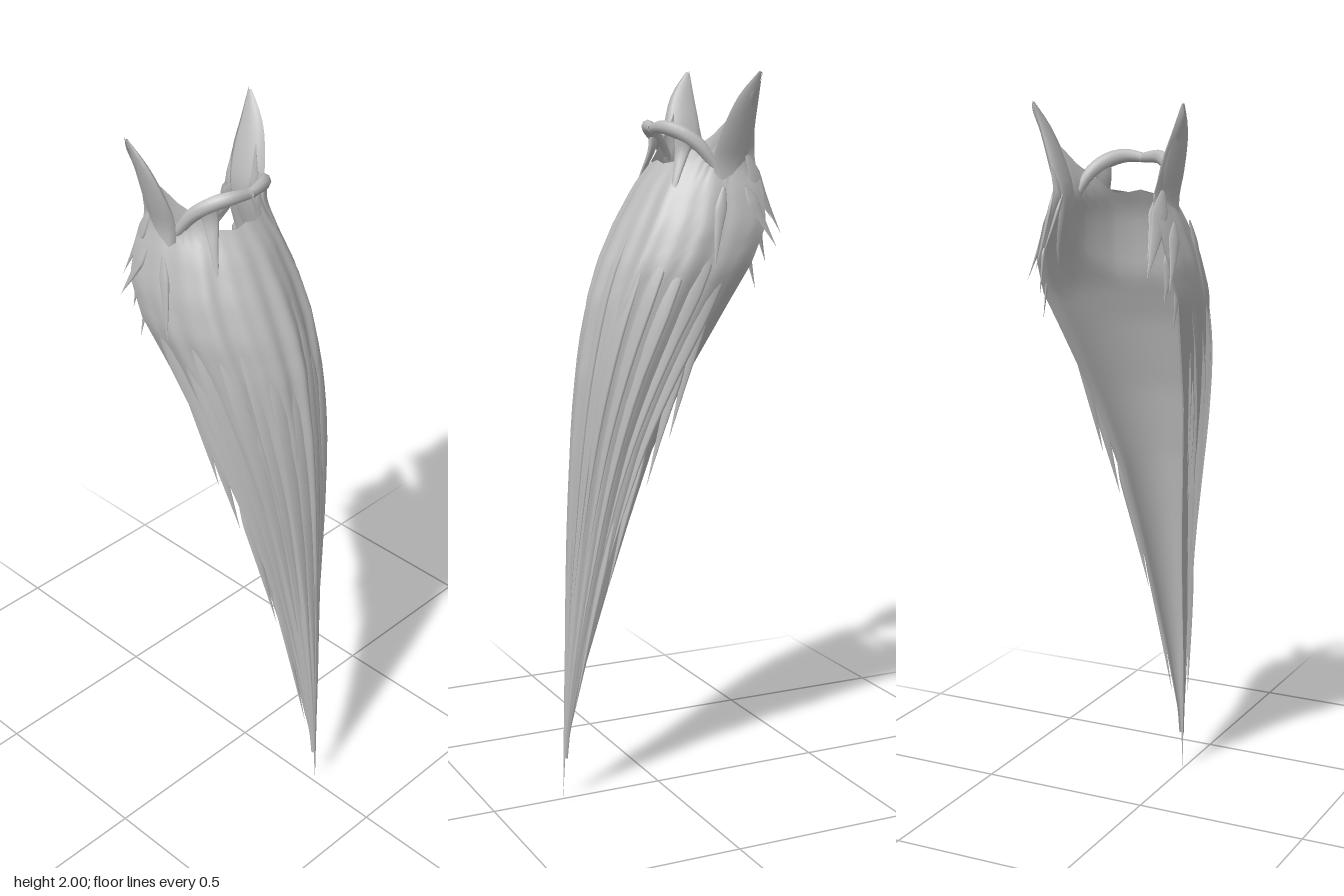
import * as THREE from 'three';

const hair = new THREE.MeshStandardMaterial({ color: 0xb9b9b9, side: THREE.DoubleSide });
hair.name = 'grey hair';

// Outline by height: [y, half width, back z, front z]
const OUTLINE = [
  [0, 0.001, 0.292, 0.295], [0.2, 0.01, 0.275, 0.29], [0.4, 0.03, 0.232, 0.284],
  [0.6, 0.052, 0.178, 0.275], [0.8, 0.077, 0.122, 0.265], [1.0, 0.108, 0.065, 0.252],
  [1.2, 0.15, -0.018, 0.231], [1.4, 0.191, -0.125, 0.194], [1.5, 0.212, -0.18, 0.16],
  [1.6, 0.207, -0.225, 0.113], [1.7, 0.178, -0.228, 0.055], [1.76, 0.152, -0.215, 0.005],
  [1.85, 0.174, -0.203, -0.05], [1.93, 0.204, -0.2, -0.1], [2.0, 0.23, -0.197, -0.17],
];
// Upper edge: [distance round from the chin, y]
const TOP = [[0, 1.765], [0.12, 1.757], [0.28, 1.765], [0.36, 1.795], [0.5, 1.835], [0.6, 1.885], [0.7, 1.9],
  [0.75, 1.945], [0.86, 1.955], [1, 2]];

// Linear lookup in a table sorted by its first column
function lookup(table, v, col) {
  let i = 1;
  while (i < table.length - 1 && v > table[i][0]) i++;
  const p = table[i - 1], q = table[i];
  const f = THREE.MathUtils.clamp((v - p[0]) / (q[0] - p[0]), 0, 1);
  return p[col] + (q[col] - p[col]) * f;
}

let seed = 7;
const rnd = () => (seed = (seed * 16807) % 2147483647) / 2147483647;

// Point on the beard: a runs -1..1 from one sideburn round the chin to the other
const REACH = 1.95, COS_END = Math.cos(REACH);
function surface(a, y, inset = 0) {
  const w = lookup(OUTLINE, y, 1), zb = lookup(OUTLINE, y, 2), zf = lookup(OUTLINE, y, 3);
  const th = a * REACH, depth = (Math.cos(th) - COS_END) / (1 - COS_END);
  return new THREE.Vector3(
    w * Math.sin(th) * (1 - 0.17 * inset), y,
    zb + (zf - zb) * depth * (1 - 0.24 * inset));
}

// Outer hair with long combed ridges that vanish at both ends
function ridged(a, y) {
  const p = surface(a, y), t = THREE.MathUtils.clamp((1.78 - y) / 1.7, 0, 1);
  const r = Math.sin(Math.PI * t) ** 0.6 * (1 - a ** 4);
  const wave = Math.sin(a * 23 + 1.5 * t) * 0.5 + Math.sin(a * 41 - 2 * t + 1) * 0.35 + Math.sin(a * 13 + 2) * 0.4;
  const k = 1 + 0.045 * r * wave, cz = lookup(OUTLINE, y, 2);
  p.x *= k;
  p.z = cz + (p.z - cz) * k;
  return p;
}

// Sheet of hair between the upper edge and the tip; the inner one closes onto the outer at its rim
function sheet(inner) {
  const NU = 96, NV = 60, pos = [], idx = [];
  for (let j = 0; j <= NV; j++) {
    for (let i = 0; i <= NU; i++) {
      const a = (i / NU) * 2 - 1, t = j / NV, top = lookup(TOP, Math.abs(a), 1);
      const y = top + (0.12 - top) * t;
      const p = inner ? surface(a, y, (1 - a ** 20) * Math.min(1, t * 7)) : ridged(a, y);
      pos.push(p.x, p.y, p.z);
      if (i < NU && j < NV) {
        const q = j * (NU + 1) + i, s = q + NU + 1;
        if (inner) idx.push(q, q + 1, s, q + 1, s + 1, s);
        else idx.push(q, s, q + 1, q + 1, s, s + 1);
      }
    }
  }
  return build(pos, idx);
}

function build(pos, idx) {
  const g = new THREE.BufferGeometry();
  g.setAttribute('position', new THREE.Float32BufferAttribute(pos, 3));
  g.setIndex(idx);
  g.computeVertexNormals();
  return g;
}

// Tapered lock with a flat oval section that follows a list of points
function lock(points, width, thick, taper) {
  const curve = new THREE.CatmullRomCurve3(points), N = 16, S = 8, pos = [], idx = [];
  for (let j = 0; j <= N; j++) {
    const t = j / N, p = curve.getPoint(t), d = curve.getTangent(t);
    const out = new THREE.Vector3(p.x, 0, p.z + 0.12);
    out.addScaledVector(d, -out.dot(d)).normalize();
    const side = new THREE.Vector3().crossVectors(d, out), k = taper(t);
    for (let i = 0; i <= S; i++) {
      const th = (i / S) * Math.PI * 2;
      const v = p.clone().addScaledVector(side, Math.cos(th) * width * k).addScaledVector(out, Math.sin(th) * thick * k);
      pos.push(v.x, v.y, v.z);
      if (i < S && j < N) {
        const q = j * (S + 1) + i, s = q + S + 1;
        idx.push(q, q + 1, s, q + 1, s + 1, s);
      }
    }
  }
  return build(pos, idx);
}
const pointed = (t) => Math.max(0.005, Math.sin(Math.PI * t ** 0.7));
const tuft = (t) => Math.max(0.005, Math.min(1, 0.2 + 3 * t) * (1 - t));
const V = (x, y, z) => new THREE.Vector3(x, y, z);

export function createModel() {
  const model = new THREE.Group();
  model.name = 'beard';
  const add = (name, geometry, parent = model) => {
    const m = new THREE.Mesh(geometry, hair);
    m.name = name;
    parent.add(m);
  };
  add('outerHair', sheet(false));
  add('innerHair', sheet(true));

  // Chin tip
  add('chinTip', lock([V(0, 0.75, 0.262), V(0, 0.4, 0.277), V(0, 0.2, 0.286), V(0, 0, 0.295)], 0.016, 0.01, (t) => 1.001 - t));

  // Broad combed locks lying on the outer hair
  const locks = new THREE.Group();
  locks.name = 'combedLocks';
  model.add(locks);
  for (const s of [-1, 1]) {
    for (let i = 0; i < 7; i++) {
      const a = s * (0.06 + 0.86 * (i + 0.6 * rnd()) / 7);
      const y0 = 1.74 - 0.25 * rnd(), y1 = 0.25 + 0.5 * rnd();
      const path = [0, 0.2, 0.4, 0.6, 0.8, 1].map((t) => ridged(a, y0 + (y1 - y0) * t));
      add('combedLock', lock(path, 0.022, 0.005, pointed), locks);
    }
  }

  for (const s of [-1, 1]) {
    const sideName = s > 0 ? 'left' : 'right';
    // Moustache half: bar over the mouth that meets the cheek
    add(sideName + 'Moustache', lock([V(0, 1.848, 0.018), V(s * 0.05, 1.852, 0.008), V(s * 0.09, 1.838, -0.022),
      V(s * 0.122, 1.805, -0.062), V(s * 0.142, 1.75, -0.1)], 0.015, 0.014, (t) => 0.85 + 0.5 * Math.sin(Math.PI * t)));
    // Mouth corner
    add(sideName + 'MouthCorner', lock([V(s * 0.1, 1.84, -0.035), V(s * 0.094, 1.79, -0.025), V(s * 0.108, 1.72, 0.0),
      V(s * 0.128, 1.6, 0.04)], 0.03, 0.012, (t) => 1.005 - t));
    // Sideburn thickness
    add(sideName + 'Sideburn', lock([V(s * 0.212, 1.995, -0.192), V(s * 0.19, 1.92, -0.165), V(s * 0.163, 1.83, -0.15),
      V(s * 0.146, 1.75, -0.14), V(s * 0.168, 1.63, -0.13), V(s * 0.19, 1.48, -0.1)], 0.055, 0.018,
    (t) => Math.max(0.02, Math.sin(Math.PI * (0.03 + 0.97 * t)))));
    // Loose tufts along the jaw: start, end, half width
    const tufts = [
      [0.155, 1.78, -0.185, 0.16, 1.57, -0.288, 0.035], [0.135, 1.76, -0.18, 0.15, 1.61, -0.265, 0.03],
      [0.18, 1.7, -0.17, 0.205, 1.54, -0.25, 0.028], [0.185, 1.66, -0.15, 0.19, 1.43, -0.195, 0.028],
      [0.19, 1.7, -0.1, 0.22, 1.49, -0.06, 0.022], [0.18, 1.64, -0.2, 0.18, 1.5, -0.23, 0.025],
      [0.18, 1.45, -0.07, 0.13, 1.03, 0.03, 0.026], [0.16, 1.3, -0.01, 0.105, 0.9, 0.085, 0.024],
      [0.115, 1.05, 0.085, 0.062, 0.6, 0.185, 0.022], [0.075, 0.8, 0.17, 0.025, 0.25, 0.27, 0.018],
    ];
    for (const [x0, y0, z0, x1, y1, z1, width] of tufts) {
      const mid = V(s * ((x0 + x1) / 2 + 0.002), (y0 + y1) / 2, (z0 + z1) / 2 + 0.004);
      add(sideName + 'JawTuft', lock([V(s * x0, y0, z0), mid, V(s * x1, y1, z1)], width, 0.008, tuft));
    }
  }
  return model;
}
